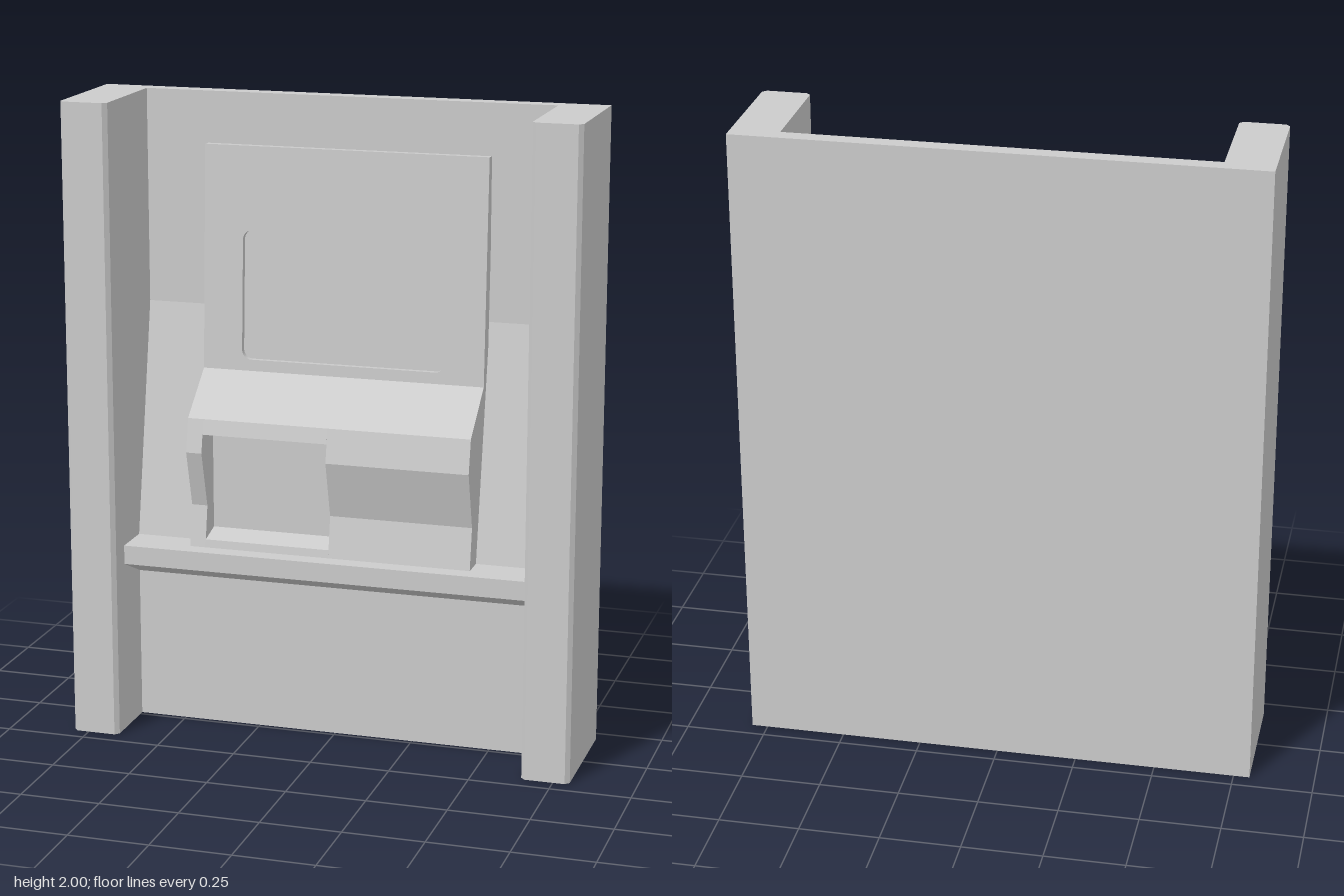
import * as THREE from 'three';

const material = new THREE.MeshStandardMaterial({ color: 0xcccccc });

function polygon(points) {
  return new THREE.Shape(points.map(([a, b]) => new THREE.Vector2(a, b)));
}

function addMesh(parent, name, geometry) {
  const mesh = new THREE.Mesh(geometry, material);
  mesh.name = name;
  parent.add(mesh);
  return mesh;
}

// Extrudes a [z, y] profile across the width from x0 to x1
function acrossWidth(profile, x0, x1) {
  const geometry = new THREE.ExtrudeGeometry(polygon(profile), { depth: x1 - x0, bevelEnabled: false });
  return geometry.rotateY(-Math.PI / 2).translate(x1, 0, 0);
}

function roundedRect(path, w, h, r, cy) {
  const x = w / 2, y0 = cy - h / 2, y1 = cy + h / 2;
  path.moveTo(-x + r, y0);
  path.lineTo(x - r, y0);
  path.absarc(x - r, y0 + r, r, -Math.PI / 2, 0);
  path.lineTo(x, y1 - r);
  path.absarc(x - r, y1 - r, r, 0, Math.PI / 2);
  path.lineTo(-x + r, y1);
  path.absarc(-x + r, y1 - r, r, Math.PI / 2, Math.PI);
  path.lineTo(-x, y0 + r);
  path.absarc(-x + r, y0 + r, r, Math.PI, Math.PI * 1.5);
  return path;
}

export function createModel() {
  const group = new THREE.Group();
  group.name = 'wallKiosk';

  // Back wall: straight top, sloped middle, shelf with slanted underside, lower panel
  addMesh(group, 'backWallAndShelf', acrossWidth([
    [-0.2, 0], [-0.015, 0], [-0.015, 0.48], [0.118, 0.54], [0.118, 0.6],
    [-0.015, 0.6], [-0.15, 1.33], [-0.15, 2], [-0.2, 2],
  ], -0.65, 0.65));

  // Side pillars with chamfered front edges
  const c = 0.013;
  for (const side of [-1, 1]) {
    const x0 = side * 0.725 - 0.075, x1 = side * 0.725 + 0.075;
    const section = polygon([
      [x0, -0.2 + c], [x0 + c, -0.2], [x1 - c, -0.2], [x1, -0.2 + c], [x1, 0.2], [x0, 0.2],
    ]);
    const geometry = new THREE.ExtrudeGeometry(section, { depth: 2, bevelEnabled: false });
    addMesh(group, side > 0 ? 'leftPillar' : 'rightPillar', geometry.rotateX(-Math.PI / 2));
  }

  // Tilted display panel with a recessed screen
  const display = new THREE.Group();
  display.name = 'displayPanel';
  display.position.set(0, 1.14, -0.085);
  display.rotation.x = -Math.atan2(0.035, 0.7);
  const height = Math.hypot(0.035, 0.7), recess = 0.02;
  const frame = polygon([[-0.45, 0], [0.45, 0], [0.45, height], [-0.45, height]]);
  frame.holes.push(roundedRect(new THREE.Path(), 0.65, 0.405, 0.03, 0.238));
  addMesh(display, 'displayFrame', new THREE.ExtrudeGeometry(frame, {
    depth: recess, bevelEnabled: false, curveSegments: 6,
  }).translate(0, 0, -recess));
  addMesh(display, 'screen', new THREE.BoxGeometry(0.9, height, 0.025)
    .translate(0, height / 2, -recess - 0.0125));
  group.add(display);

  // Protruding console, cut by an open tray bay on one side
  const consoleGroup = new THREE.Group();
  consoleGroup.name = 'console';
  const back = -0.15;
  const top = [[0.068, 1.015], [-0.085, 1.14], [back, 1.14]];
  const full = [[back, 0.6], [0.062, 0.6], [0.04, 0.73], [0.09, 0.91], ...top];
  const bay = [
    [back, 0.6], [0.062, 0.6], [0.058, 0.625], [-0.02, 0.645],
    [-0.02, 0.96], [0.079, 0.968], ...top,
  ];
  addMesh(consoleGroup, 'consoleRightCheek', acrossWidth(full, -0.45, -0.4));
  addMesh(consoleGroup, 'trayBay', acrossWidth(bay, -0.4, 0));
  addMesh(consoleGroup, 'consoleLeftBody', acrossWidth(full, 0, 0.45));
  group.add(consoleGroup);

  return group;
}
